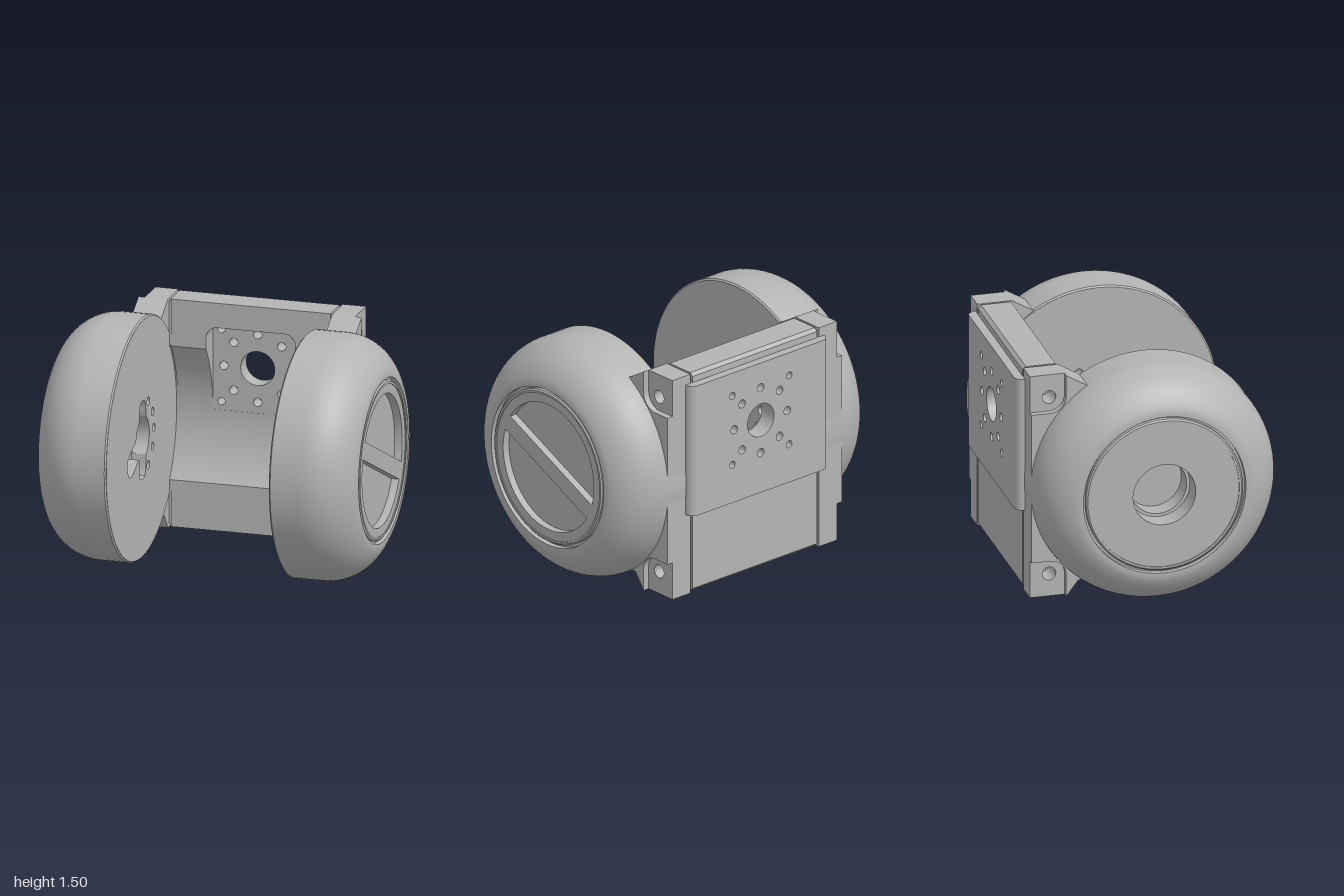
import * as THREE from 'three';
import { toCreasedNormals } from 'three/addons/utils/BufferGeometryUtils.js';

const CY = 0.75, CU = -0.025;          // wheel axis (u = -z)
const V = (x, y) => new THREE.Vector2(x, y);

function circle(x, y, r, n = 40) {
  const pts = [];
  for (let i = 0; i < n; i++) {
    const a = (i / n) * Math.PI * 2 + Math.PI / 2;
    pts.push(V(x + r * Math.cos(a), y + r * Math.sin(a)));
  }
  return pts;
}
const withHoles = (shape, holes) => {
  holes.forEach(h => shape.holes.push(new THREE.Path(h)));
  return shape;
};

export function createModel() {
  const group = new THREE.Group();
  const grey = new THREE.MeshStandardMaterial({ color: 0xb4b4b4 });
  grey.name = 'grey';

  function add(parent, name, geo) {
    const m = new THREE.Mesh(geo, grey);
    m.name = name;
    parent.add(m);
    return m;
  }
  const extrude = (shape, depth) => toCreasedNormals(
    new THREE.ExtrudeGeometry(shape, { depth, bevelEnabled: false, curveSegments: 24 }), 0.5);
  // Extrude a (-z, y) outline between x0 and x1, mirrored when s = -1
  const alongX = (shape, x0, x1, s = 1) => extrude(shape, x1 - x0)
    .rotateY(Math.PI / 2).translate(s > 0 ? x0 : -x1, 0, 0);
  const alongZ = (shape, z0, z1) => extrude(shape, z1 - z0).translate(0, 0, z0);

  // ---- Central body: block with a concave front ----
  const R = 0.684, A = Math.asin(0.42 / R);
  const bolts = (r, n) => [circle(0.6, 1.32, r, n), circle(0.6, 0.175, r, n)];
  function bodyProfile(i) {
    const s = new THREE.Shape();
    s.moveTo(0.70, 0.035 + i);
    s.lineTo(0.72 - i, 0.055 + i);
    s.lineTo(0.72 - i, 1.445 - i);
    s.lineTo(0.70 - i, 1.465 - i);
    s.lineTo(0.515 + i, 1.465 - i);
    s.absarc(CU, CY, R + i / 2, A, -A, true);
    s.lineTo(0.515 + i, 0.035 + i);
    return withHoles(s, bolts(0.036, 6));
  }
  for (const s of [1, -1]) {
    add(group, 'bodySide', alongX(bodyProfile(0), 0.28, 0.50, s));
    add(group, 'bodySeam', alongX(bodyProfile(0.015), 0.495, 0.52, s));
  }
  const low = new THREE.Shape();
  low.moveTo(0.70, 0.035);
  low.lineTo(0.72, 0.055);
  low.lineTo(0.72, 0.745);
  low.absarc(CU, CY, R, 0, -A, true);
  low.lineTo(0.515, 0.035);
  add(group, 'bodyLower', alongX(withHoles(low, [circle(0.6, 0.175, 0.036, 6)]), -0.28, 0.28));
  const top = new THREE.Shape();
  top.moveTo(0.72, 1.31);
  top.lineTo(0.72, 1.445);
  top.lineTo(0.70, 1.465);
  top.lineTo(0.515, 1.465);
  top.lineTo(0.515, 1.31);
  top.absarc(0.6, 1.32, 0.04, Math.PI + 0.253, -0.253, true);
  add(group, 'bodyUpper', alongX(top, -0.28, 0.28));

  // ---- Mounting pocket and raised back plate, drilled alike ----
  const MY = 1.03;
  const drill = [circle(0, MY, 0.107)];
  for (let i = 0; i < 8; i++) {
    const a = i * Math.PI / 4;
    drill.push(circle(0.213 * Math.cos(a), MY + 0.213 * Math.sin(a), 0.027, 16));
  }
  for (const x of [-0.228, 0.228]) for (const y of [-0.226, 0.226])
    drill.push(circle(x, MY + y, 0.023, 16));
  const rect = (w, y0, y1) => withHoles(
    new THREE.Shape([V(-w, y0), V(w, y0), V(w, y1), V(-w, y1)]), drill);
  add(group, 'pocketFloor', alongZ(rect(0.28, 0.745, 1.31), -0.72, -0.661));
  add(group, 'backPlate', alongZ(rect(0.5, 0.555, 1.405), -0.775, -0.718));
  for (const s of [1, -1]) {
    add(group, 'backPlateEdge', new THREE.CylinderGeometry(0.055, 0.055, 0.85, 32))
      .position.set(s * 0.5, 0.98, -0.72);
    // Rounded upper corner of the pocket
    const f = new THREE.Shape();
    f.moveTo(s * 0.28, 1.31);
    f.lineTo(s * 0.28, 1.24);
    f.absarc(s * 0.21, 1.24, 0.07, s > 0 ? 0 : Math.PI, Math.PI / 2, s < 0);
    add(group, 'pocketCorner', alongZ(f, -0.70, -0.516));
  }

  // ---- Side brackets with recessed bolt corners ----
  const front = [V(0.505, 0.03), V(0.43, 0.13), V(0.35, 0.13), V(0.35, 1.385), V(0.37, 1.385), V(0.505, 1.465)];
  const inner = () => withHoles(new THREE.Shape([V(0.72, 0.03), ...front, V(0.72, 1.465)]), bolts(0.042, 24));
  const outer = new THREE.Shape(front);
  outer.lineTo(0.505, 1.33);
  outer.absarc(0.605, 1.33, 0.1, Math.PI, Math.PI * 1.5, false);
  outer.lineTo(0.72, 1.23);
  outer.lineTo(0.72, 0.27);
  outer.lineTo(0.605, 0.27);
  outer.absarc(0.605, 0.17, 0.1, Math.PI / 2, Math.PI, false);
  for (const s of [1, -1]) {
    add(group, 'sideBracket', alongX(inner(), 0.515, 0.66, s));
    add(group, 'sideBracketFace', alongX(outer, 0.66, 0.70, s));
  }

  // ---- Wheels ----
  const profile = [V(0.74, 0.51), V(0.75, 0.52), V(0.75, 0.60)];
  const B = 0.317, end = Math.asin(0.3 / B);
  for (let i = 0; i <= 16; i++) {
    const a = end * i / 16;
    profile.push(V(0.75 - B + B * Math.cos(a), 0.70 + B * Math.sin(a)));
  }
  profile.push(V(0.505, 1.0), V(0.505, 0.965), V(0.488, 0.965), V(0.488, 0.99), V(0.478, 0.998), V(0.465, 0.998), V(0.465, 0.98));

  // Lobed opening of the hub: up, down and forward arms
  const lobes = [];
  for (let i = 0; i < 72; i++) {
    const t = i / 72 * Math.PI * 2;
    let r = 0.135;
    for (const [dir, len] of [[1.57, 0.10], [-1.57, 0.12], [Math.PI + 0.4, 0.19]]) {
      r += len * Math.exp(-(((1 - Math.cos(t - dir)) / 0.07) ** 2));
    }
    lobes.push(V(CU + r * Math.cos(t), CY + r * Math.sin(t)));
  }
  const hubHoles = [lobes];
  for (const a of [-1.05, -0.5, 0, 0.5, 1.05])
    hubHoles.push(circle(CU + 0.23 * Math.cos(a), CY + 0.23 * Math.sin(a), 0.027, 16));
  const disc = (r, holes = []) => withHoles(new THREE.Shape(circle(CU, CY, r, 72)), holes);

  // Two round segments left and right of a tilted bar
  const tilt = -25 * Math.PI / 180, half = Math.asin(0.054 / 0.408);
  const segment = up => {
    const pts = [];
    for (let i = 0; i <= 32; i++) {
      const a = tilt + (up ? 0 : Math.PI) + half + (Math.PI - 2 * half) * i / 32;
      pts.push(V(CU + 0.408 * Math.cos(a), CY + 0.408 * Math.sin(a)));
    }
    return pts;
  };

  for (const s of [1, -1]) {
    const wheel = new THREE.Group();
    wheel.name = s > 0 ? 'leftWheel' : 'rightWheel';
    group.add(wheel);
    const tyre = add(wheel, 'tyre', toCreasedNormals(new THREE.LatheGeometry(profile, 96), 0.4));
    tyre.rotation.z = -s * Math.PI / 2;
    tyre.position.set(0, CY, -CU);
    add(wheel, 'innerFace', alongX(disc(0.741, hubHoles), 0.51, 0.60, s));
    add(wheel, 'hubFloor', alongX(disc(0.45), 0.60, 0.64, s));
    if (s > 0) {
      add(wheel, 'slottedCap', alongX(disc(0.47, [segment(true), segment(false)]), 0.945, 0.992, s));
      add(wheel, 'capFloor', alongX(disc(0.45), 0.92, 0.945, s));
    } else {
      add(wheel, 'boredCap', alongX(disc(0.47, [circle(CU, CY, 0.195)]), 0.86, 0.992, s));
      add(wheel, 'boreStep', alongX(disc(0.3, [circle(CU, CY, 0.175)]), 0.74, 0.86, s));
      add(wheel, 'boreFloor', alongX(disc(0.3), 0.70, 0.74, s));
    }
  }
  return group;
}
